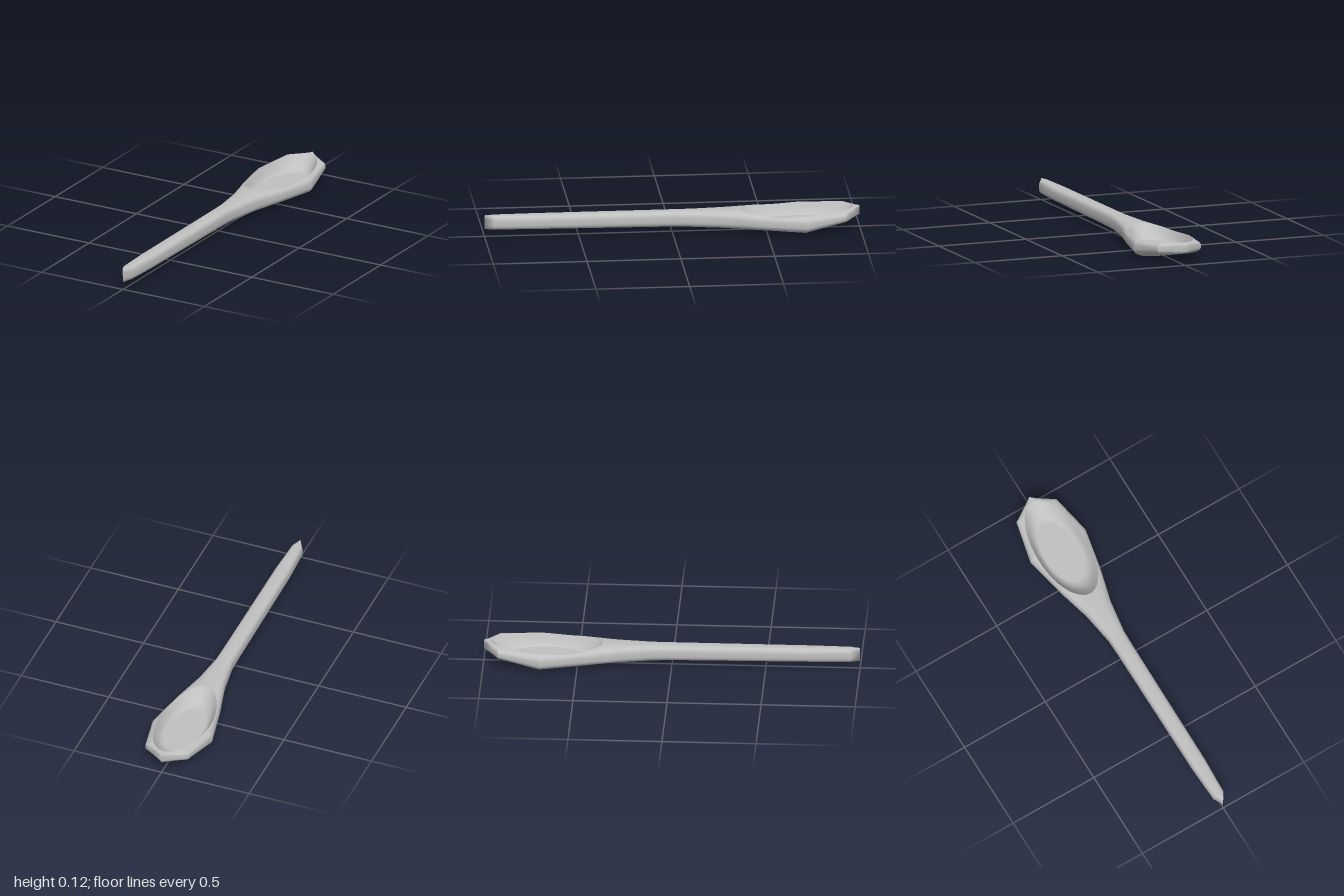
import * as THREE from 'three';
import { mergeVertices } from 'three/addons/utils/BufferGeometryUtils.js';

// Control sections along the spoon: [z, half width, bottom y, top y]
const SECTIONS = [
  [1, 0, 0.04, 0.117], [0.95, 0.032, 0.04, 0.117], [0.75, 0.042, 0.038, 0.117],
  [0, 0.046, 0.031, 0.117], [-0.1, 0.048, 0.027, 0.117], [-0.28, 0.075, 0.02, 0.117],
  [-0.47, 0.125, 0.012, 0.116], [-0.7, 0.172, 0, 0.115], [-0.92, 0.125, 0.047, 0.117],
  [-1, 0, 0.065, 0.117],
];
const POWER = 3; // squareness of the rounded cross-section
const BOWL = { z: -0.665, rimX: 0.138, rimZ: 0.3, floorX: 0.097, floorZ: 0.19, floorY: 0.04 };

function sectionAt(z) {
  let i = 0;
  while (i < SECTIONS.length - 2 && z < SECTIONS[i + 1][0]) i++;
  const a = SECTIONS[i], b = SECTIONS[i + 1];
  const t = (z - a[0]) / (b[0] - a[0]);
  const [w, lo, hi] = [1, 2, 3].map((k) => THREE.MathUtils.lerp(a[k], b[k], t));
  return { w, mid: (lo + hi) / 2, h: (hi - lo) / 2 };
}

// Rounded-square point; angle 0 is the top, turning towards +x
function sectionPoint(s, z, angle) {
  const bend = (v) => Math.sign(v) * Math.abs(v) ** (2 / POWER);
  return [s.w * bend(Math.sin(angle)), s.mid + s.h * bend(Math.cos(angle)), z];
}

// Angle at which a section meets the rim of the bowl
function rimAngle(s, rimX) {
  return rimX < 1e-6 ? 0 : Math.asin(Math.min(1, rimX / s.w) ** (POWER / 2));
}

// Smooth surface through rows of points
function loft(rows) {
  const cols = rows[0].length, index = [];
  for (let i = 0; i < rows.length - 1; i++) {
    for (let j = 0; j < cols - 1; j++) {
      const a = i * cols + j, b = a + 1, c = a + cols, d = c + 1;
      index.push(a, b, c, b, d, c);
    }
  }
  const geometry = new THREE.BufferGeometry();
  geometry.setAttribute('position', new THREE.Float32BufferAttribute(rows.flat(2), 3));
  geometry.setIndex(index);
  const merged = mergeVertices(geometry, 1e-5);
  merged.computeVertexNormals();
  return merged;
}

export function createModel() {
  const group = new THREE.Group();
  group.name = 'spoon';
  const material = new THREE.MeshStandardMaterial({ color: 0xc0c0c0, side: THREE.DoubleSide });
  material.name = 'light grey';
  const add = (name, rows) => {
    const mesh = new THREE.Mesh(loft(rows), material);
    mesh.name = name;
    group.add(mesh);
  };

  // Rim stations, shared by the body and the bowl
  const thetas = [-0.47, -0.7, -0.92].map((z) => Math.acos((z - BOWL.z) / BOWL.rimZ));
  for (let i = 0; i <= 28; i++) thetas.push((i / 28) * Math.PI);
  thetas.sort((a, b) => a - b);
  const rim = thetas.map((t) => {
    const z = BOWL.z + BOWL.rimZ * Math.cos(t);
    const x = BOWL.rimX * Math.max(0, Math.sin(t));
    const s = sectionAt(z);
    return { t, z, x, y: sectionPoint(s, z, rimAngle(s, x))[1] };
  });

  // Handle and outer shell, left open where the bowl is cut in
  const stations = [
    ...SECTIONS.slice(0, 6).map(([z]) => ({ z, x: 0 })),
    ...rim,
    { z: -1, x: 0 },
  ];
  add('handleAndShell', stations.map(({ z, x }) => {
    const s = sectionAt(z), start = rimAngle(s, x), row = [];
    for (let j = 0; j <= 40; j++) {
      row.push(sectionPoint(s, z, start + (j / 40) * (2 * Math.PI - 2 * start)));
    }
    return row;
  }));

  // Full loop round the rim, mirrored to the -x side
  const loop = [
    ...rim,
    ...rim.slice(0, -1).reverse().map((p) => ({ ...p, t: 2 * Math.PI - p.t })),
  ];
  const ring = (k) => loop.map(({ t, y }) => [
    THREE.MathUtils.lerp(BOWL.rimX, BOWL.floorX, k) * Math.sin(t),
    THREE.MathUtils.lerp(y, BOWL.floorY, Math.sin((k * Math.PI) / 2)),
    BOWL.z + THREE.MathUtils.lerp(BOWL.rimZ, BOWL.floorZ, k) * Math.cos(t),
  ]);

  // Sloping bowl wall and flat bowl floor
  add('bowlWall', [0, 0.2, 0.4, 0.6, 0.8, 1].map(ring));
  add('bowlFloor', [ring(1), loop.map(() => [0, BOWL.floorY, BOWL.z])]);

  return group;
}
